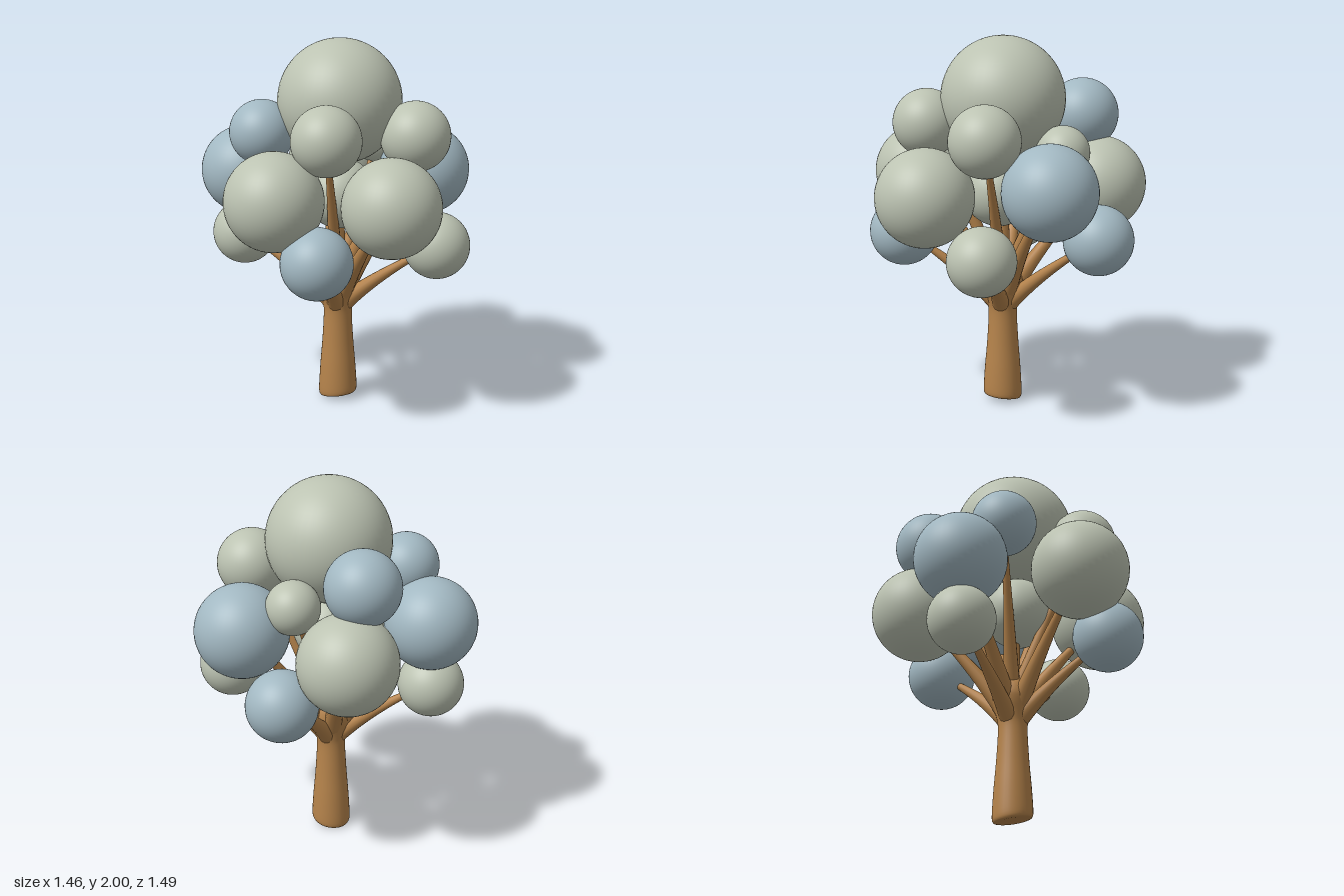
import * as THREE from 'three';

const bark = new THREE.MeshStandardMaterial({ color: 0xb5834b });
bark.name = 'bark brown';
const sage = new THREE.MeshStandardMaterial({ color: 0xbcc3b2 });
sage.name = 'sage green';
const blue = new THREE.MeshStandardMaterial({ color: 0xa2b8c2 });
blue.name = 'dusty blue';

// Foliage balls: x, y, z, radius, material, height where the branch leaves the trunk, branch base radius
const BALLS = [
  [-0.016, 1.67, -0.035, 0.328, sage, 0.62, 0.05],
  [0.155, 1.26, -0.5, 0.245, blue, 0.55, 0.06],
  [-0.175, 0.965, -0.555, 0.185, blue, 0.52, 0.055],
  [-0.43, 1.2, -0.35, 0.257, sage, 0.55, 0.06],
  [-0.427, 1.565, -0.24, 0.193, blue, 0.62, 0.05],
  [-0.09, 1.415, -0.38, 0.14, sage, 0.62, 0.045],
  [-0.27, 1.51, 0.285, 0.172, blue, 0.62, 0.05],
  [0.07, 1.235, 0.487, 0.255, sage, 0.55, 0.06],
  [0.233, 1.54, 0.28, 0.18, sage, 0.62, 0.05],
  [0.475, 1.205, 0.058, 0.256, sage, 0.55, 0.06],
  [0.345, 1.51, -0.235, 0.184, sage, 0.62, 0.05],
  [0.445, 0.93, -0.305, 0.177, sage, 0.52, 0.055],
  [0.295, 0.945, 0.4, 0.185, blue, 0.52, 0.055],
  [-0.487, 0.91, 0.245, 0.175, sage, 0.52, 0.055],
  [-0.49, 1.26, 0.225, 0.242, blue, 0.55, 0.06],
  [0.0, 1.18, -0.02, 0.19, sage, 0.62, 0.05],
];

const AXIS = new THREE.Vector3(-0.024, 0, -0.028);

// Tube along a curve whose radius shrinks from r0 to r1
function taperedTube(curve, r0, r1, rings = 24, sides = 14) {
  const geo = new THREE.TubeGeometry(curve, rings, 1, sides, false);
  const pos = geo.attributes.position;
  const v = new THREE.Vector3();
  for (let i = 0; i <= rings; i++) {
    const t = i / rings;
    const centre = curve.getPointAt(t);
    const r = r1 + (r0 - r1) * Math.pow(1 - t, 1.3);
    for (let j = 0; j <= sides; j++) {
      const k = i * (sides + 1) + j;
      v.fromBufferAttribute(pos, k).sub(centre).multiplyScalar(r).add(centre);
      pos.setXYZ(k, v.x, v.y, v.z);
    }
  }
  return geo;
}

function add(parent, name, geometry, material) {
  const mesh = new THREE.Mesh(geometry, material);
  mesh.name = name;
  parent.add(mesh);
  return mesh;
}

// Flared trunk with a slanted foot and a rounded crotch
function trunkGeometry() {
  const wall = new THREE.SplineCurve([
    [0.098, 0.02], [0.105, 0.05], [0.098, 0.18], [0.085, 0.34], [0.077, 0.5],
    [0.085, 0.57], [0.105, 0.64], [0.11, 0.69], [0.09, 0.75], [0.04, 0.79], [0, 0.8],
  ].map(([r, y]) => new THREE.Vector2(r, y))).getPoints(50);
  wall[wall.length - 1].x = 0;
  const profile = [new THREE.Vector2(0, 0.018), new THREE.Vector2(0.085, 0.016), ...wall];
  const geo = new THREE.LatheGeometry(profile, 32);
  const pos = geo.attributes.position;
  for (let i = 0; i < pos.count; i++) {
    const y = pos.getY(i);
    const foot = Math.max(0, 1 - y / 0.3);
    pos.setY(i, y + pos.getX(i) * 0.18 * foot);
  }
  return geo;
}

export function createModel() {
  const tree = new THREE.Group();
  tree.name = 'tree';

  add(tree, 'trunk', trunkGeometry(), bark).position.copy(AXIS);

  const branches = new THREE.Group();
  branches.name = 'branches';
  const foliage = new THREE.Group();
  foliage.name = 'foliage';
  tree.add(branches, foliage);

  for (const [x, y, z, r, material, startY, thickness] of BALLS) {
    const centre = new THREE.Vector3(x, y, z);
    const ball = add(foliage, 'foliageBall', new THREE.SphereGeometry(r, 48, 32), material);
    ball.position.copy(centre);

    // Branch leaves the trunk steeply, then bends out into its ball
    const start = AXIS.clone().setY(startY);
    const bend = start.clone().lerp(centre, 0.4);
    bend.y += 0.03;
    bend.x += (AXIS.x - bend.x) * 0.15;
    bend.z += (AXIS.z - bend.z) * 0.15;
    const curve = new THREE.QuadraticBezierCurve3(start, bend, centre);
    add(branches, 'branch', taperedTube(curve, thickness, 0.012), bark);
  }
  return tree;
}
